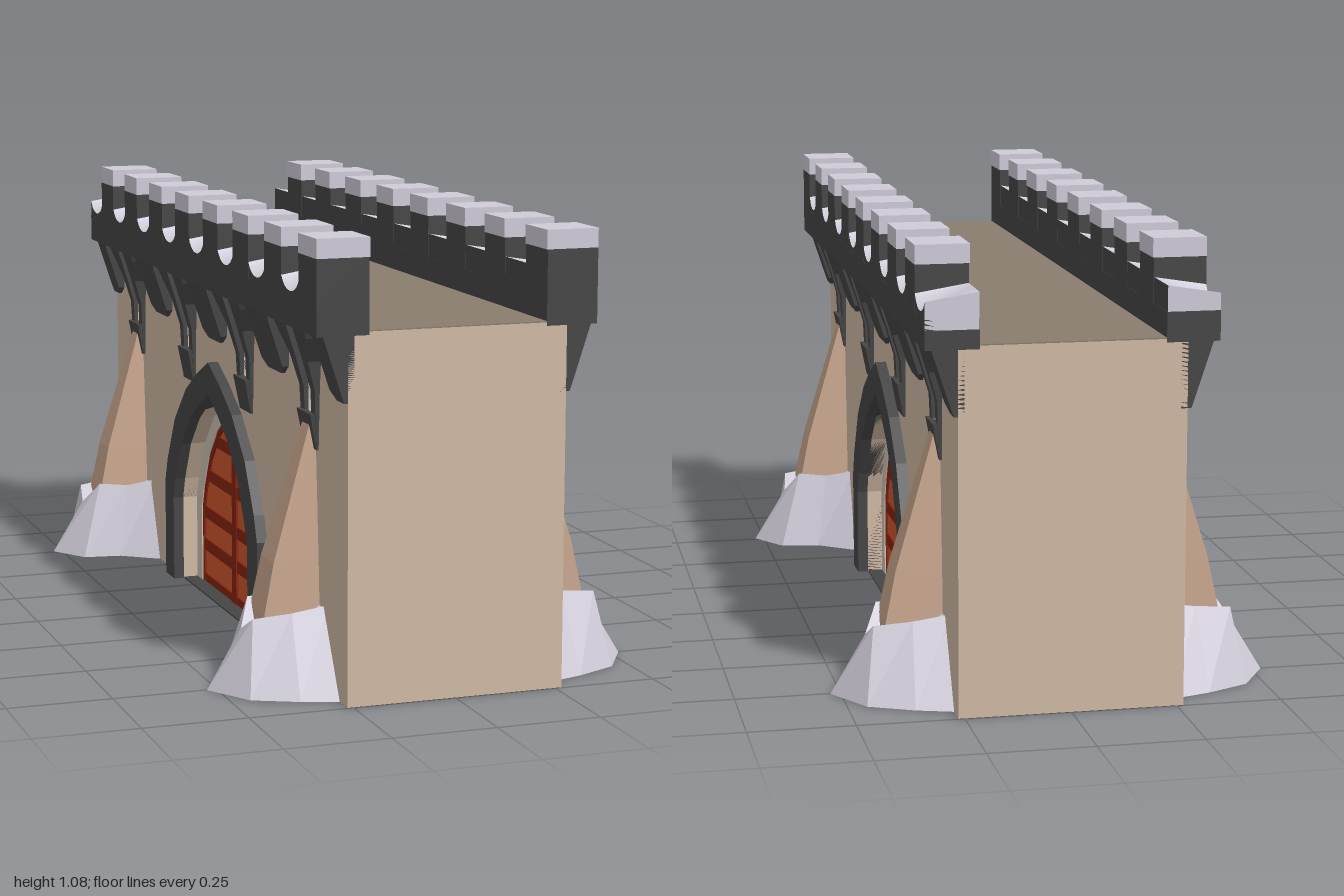
import * as THREE from 'three';

const mat = (name, color) => {
  const m = new THREE.MeshStandardMaterial({ color });
  m.name = name;
  return m;
};

export function createModel() {
  const M = {
    wall: mat('sandstone', 0xcfb8a3),
    walk: mat('walkway', 0x887d6e),
    dark: mat('dark stone', 0x454545),
    pale: mat('pale stone', 0xcfcbd8),
    butt: mat('buttress stone', 0xc6a48b),
    trim: mat('door trim', 0xcdc3b5),
    door: mat('door panel', 0xcb552d),
    bar: mat('door bars', 0x86230f),
  };
  for (const m of Object.values(M)) m.flatShading = true;
  const model = new THREE.Group();
  model.name = 'castleWall';

  const add = (parent, name, geo, material) => {
    const mesh = new THREE.Mesh(geo, material);
    mesh.name = name;
    parent.add(mesh);
    return mesh;
  };
  // Box given by its limits
  const box = (parent, name, m, x0, x1, y0, y1, z0, z1) =>
    add(parent, name, new THREE.BoxGeometry(Math.abs(x1 - x0), y1 - y0, Math.abs(z1 - z0)), m)
      .position.set((x0 + x1) / 2, (y0 + y1) / 2, (z0 + z1) / 2);
  // Outline in (-z, y), extruded along x from x0 to x1
  const slab = (shape, x0, x1) =>
    new THREE.ExtrudeGeometry(shape, { depth: x1 - x0, bevelEnabled: false, curveSegments: 6 })
      .translate(0, 0, x0).rotateY(Math.PI / 2);
  const toShape = pts => new THREE.Shape(pts.map(p => new THREE.Vector2(p[0], p[1])));

  // Joins loops of points (counter-clockwise from above, bottom to top) and closes both ends
  const loft = loops => {
    const n = loops[0].length, pos = [];
    const tri = (a, b, c) => pos.push(...a, ...b, ...c);
    const mid = loop => [0, 1, 2].map(k => loop.reduce((s, p) => s + p[k], 0) / n);
    const lo = mid(loops[0]), last = loops[loops.length - 1], hi = mid(last);
    hi[1] = Math.min(...last.map(p => p[1]));
    for (let i = 0; i < n; i++) {
      const j = (i + 1) % n;
      for (let k = 0; k + 1 < loops.length; k++) {
        const a = loops[k], b = loops[k + 1];
        tri(a[i], a[j], b[j]);
        tri(a[i], b[j], b[i]);
      }
      tri(lo, loops[0][j], loops[0][i]);
      tri(hi, last[i], last[j]);
    }
    const g = new THREE.BufferGeometry();
    g.setAttribute('position', new THREE.Float32BufferAttribute(pos, 3));
    g.computeVertexNormals();
    return g;
  };
  // Stack of rectangles against the wall; each level is [y, z0, z1, outer x]
  const bracket = levels => loft(levels.map(([y, z0, z1, x]) =>
    [[0.25, y, z1], [x, y, z1], [x, y, z0], [0.25, y, z0]]));

  // Pointed arch outline
  const PROFILE = [[1, 0], [1, 0.4], [0.94, 0.5], [0.76, 0.69], [0.5, 0.84], [0.25, 0.93], [0, 1]];
  const archPts = (w, h) => {
    const right = PROFILE.map(([u, v]) => [u * w, v * h]);
    return [...right, ...right.slice(0, -1).reverse().map(([u, v]) => [-u, v])];
  };
  const archRing = (w0, h0, w1, h1) => toShape([...archPts(w0, h0), ...archPts(w1, h1).reverse()]);
  const archHalfWidth = (w, h, y) => {
    for (let i = 1; i < PROFILE.length - 1; i++) {
      const [u0, v0] = PROFILE[i], [u1, v1] = PROFILE[i + 1];
      if (y / h >= v0 && y / h <= v1) return w * (u0 + (u1 - u0) * (y / h - v0) / (v1 - v0));
    }
    return w;
  };

  // Wall core and skins, pierced by four slits
  const SLITS = [-0.75, -0.25, 0.25, 0.75];
  const pierce = shape => {
    for (const z of SLITS) {
      shape.holes.push(new THREE.Path([[-0.024, 0.645], [-0.024, 0.85], [0.024, 0.85], [0.024, 0.645]]
        .map(([u, v]) => new THREE.Vector2(u + z, v))));
    }
    return shape;
  };
  const core = pierce(toShape([[-1, 0], [1, 0], [1, 0.863], [-1, 0.863]]));
  add(model, 'wallCore', slab(core, -0.215, 0.215), M.wall);
  box(model, 'walkway', M.walk, -0.217, 0.217, 0.861, 0.866, -0.999, 0.999);
  box(model, 'underside', M.dark, -0.264, 0.264, -0.001, 0.003, -0.999, 0.999);

  for (const side of [1, -1]) {
    const g = new THREE.Group();
    g.name = side > 0 ? 'leftSide' : 'rightSide';
    if (side < 0) g.rotation.y = Math.PI;
    model.add(g);

    const skin = pierce(toShape([[1, 0], [1, 0.855], [-1, 0.855], [-1, 0],
      ...archPts(0.33, 0.56).reverse()]));
    add(g, 'wallSkin', slab(skin, 0.215, 0.265), M.wall);

    // Gate: stone arch, trim, door and bars
    add(g, 'gateArch', slab(archRing(0.41, 0.645, 0.33, 0.56), 0.215, 0.292), M.dark);
    add(g, 'gateTrim', slab(archRing(0.332, 0.562, 0.284, 0.52), 0.21, 0.226), M.trim);
    add(g, 'door', slab(toShape(archPts(0.286, 0.522)), 0.21, 0.218), M.door);
    add(g, 'doorBorder', slab(archRing(0.285, 0.521, 0.271, 0.502), 0.214, 0.223), M.bar);
    box(g, 'doorPost', M.bar, 0.215, 0.224, 0, 0.51, -0.018, 0.018);
    for (const y of [0.008, 0.105, 0.195, 0.3, 0.405]) {
      const w = archHalfWidth(0.28, 0.515, y + 0.015);
      box(g, 'doorBar', M.bar, 0.215, 0.222, Math.max(0, y - 0.016), y + 0.016, -w, w);
    }

    // Parapet with capped merlons and scooped gaps
    box(g, 'parapet', M.dark, 0.215, 0.34, 0.855, 0.925, -1, 1);
    for (let i = 0; i < 8; i++) {
      const z1 = 1 - i * 0.25, z0 = z1 - 0.125, zGap = z0 - 0.0625;
      box(g, 'merlon', M.dark, 0.215, 0.34, 0.92, 1.03, side * z0, side * z1);
      box(g, 'merlonCap', M.pale, 0.213, 0.34, 1.03, 1.075, side * z0, side * z1);
      const h = 0.0625, s = new THREE.Shape();
      s.moveTo(-h, 0.9);
      s.lineTo(h, 0.9);
      s.lineTo(h, 0.965);
      s.quadraticCurveTo(0.04, 0.936, 0, 0.936);
      s.quadraticCurveTo(-0.04, 0.936, -h, 0.965);
      const geo = slab(s, 0.216, 0.3395), p = geo.attributes.position;
      for (let k = 0; k < p.count; k++) {
        if (p.getX(k) < 0.25 && p.getY(k) > 0.92) p.setY(k, 0.985);
      }
      geo.computeVertexNormals();
      add(g, 'parapetGap', geo, [M.dark, M.pale]).position.z = side * zGap;
    }

    // Short corbels
    for (const z of [-1, -0.5, 0, 0.5, 1]) {
      const r = (y, h, x) => [y, Math.max(-1, z - h), Math.min(1, z + h), x];
      add(g, 'corbel', bracket([r(0.702, 0.05, 0.274), r(0.722, 0.08, 0.281), r(0.857, 0.085, 0.325)]), M.dark);
    }

    // Slit frames: two flaring legs and a sill
    for (const z of SLITS) {
      for (const d of [1, -1]) {
        const r = (y, w, x) => [y, Math.min(z + d * 0.024, z + d * w), Math.max(z + d * 0.024, z + d * w), x];
        add(g, 'slitFrame', bracket([r(0.56, 0.048, 0.27), r(0.645, 0.053, 0.275), r(0.7, 0.056, 0.277),
          r(0.77, 0.064, 0.297), r(0.83, 0.105, 0.316), r(0.857, 0.115, 0.325)]), M.dark);
      }
      add(g, 'slitSill', bracket([[0.56, z - 0.045, z + 0.045, 0.27], [0.645, z - 0.05, z + 0.05, 0.286]]), M.dark);
    }

    // Buttresses standing in rough rock bases
    for (const d of [1, -1]) {
      const r = (y, h, x) => [y, d * 0.75 - h, d * 0.75 + h, x];
      add(g, 'buttress', bracket([r(0.08, 0.06, 0.41), r(0.18, 0.055, 0.4), r(0.3, 0.048, 0.375),
        r(0.645, 0.023, 0.272)]), M.butt);
      const foot = [[0.255, 0, 0.56], [0.36, 0, 0.64], [0.46, 0, 0.655], [0.525, 0, 0.755],
        [0.455, 0, 0.87], [0.35, 0, 0.92], [0.255, 0, 0.95]];
      const rim = [[0.255, 0.21, 0.65], [0.33, 0.195, 0.67], [0.405, 0.2, 0.69], [0.44, 0.14, 0.75],
        [0.43, 0.175, 0.81], [0.34, 0.185, 0.825], [0.255, 0.2, 0.835]];
      const loops = [foot, rim].map(l => {
        const m = l.map(([x, y, z]) => [x, y, d * z]);
        return d > 0 ? m.reverse() : m;
      });
      add(g, 'rockBase', loft(loops), M.pale);
    }
  }
  return model;
}
